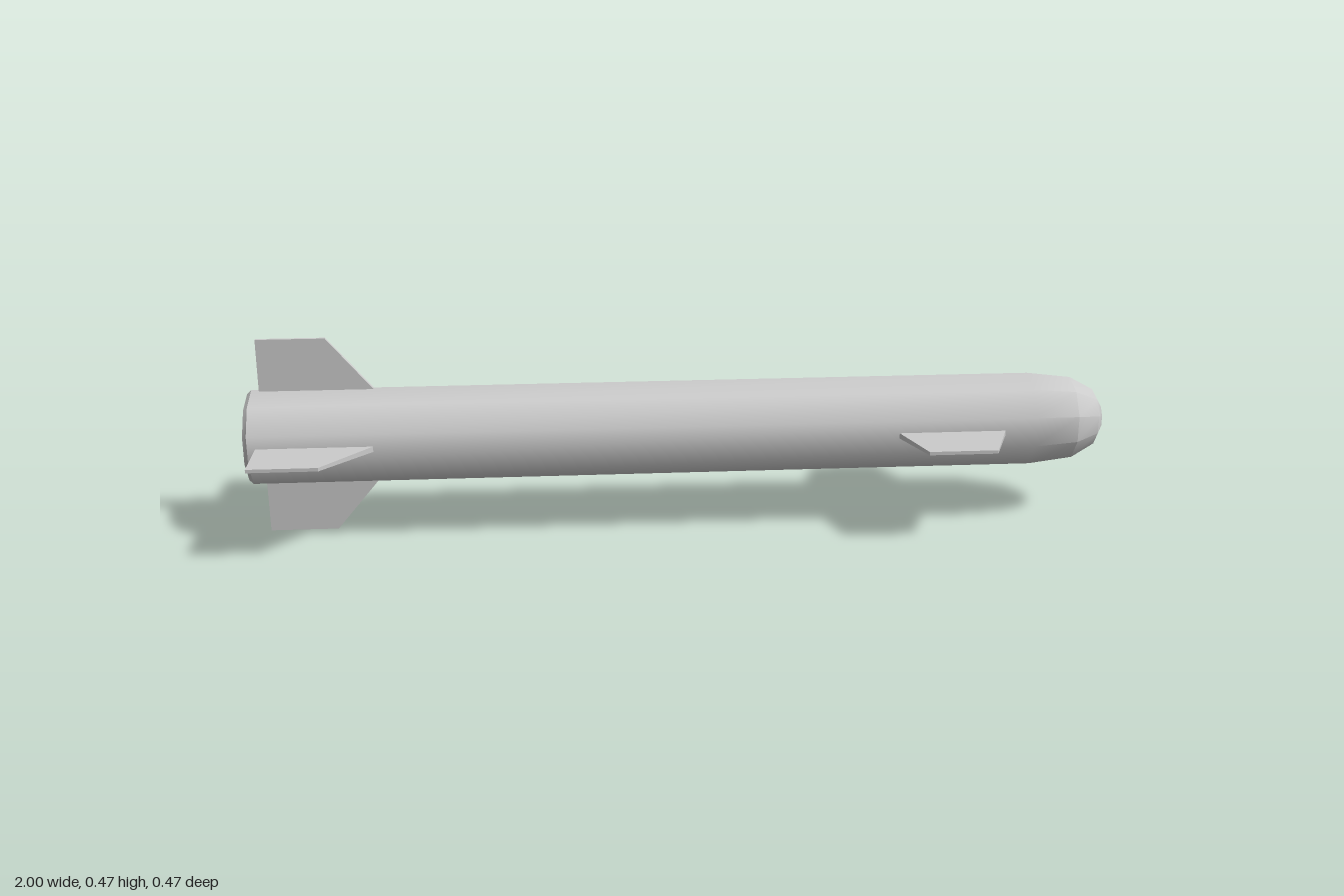
import * as THREE from 'three';
import { toCreasedNormals } from 'three/addons/utils/BufferGeometryUtils.js';

const AXIS_Y = 0.233;   // height of the body's centre line
const RADIUS = 0.113;
const ROOT = 0.1;       // fins start just inside the skin
const REACH = 0.233;    // fin tip distance from the centre line

const material = new THREE.MeshStandardMaterial({ color: 0xcccccc });

// Ten-sided solid of revolution along x, from [x, radius] points running aft to fore
function turned(name, points) {
  const profile = points.map(([x, r]) => new THREE.Vector2(r, x));
  const geometry = new THREE.LatheGeometry(profile, 10, Math.PI / 2);
  geometry.rotateZ(-Math.PI / 2);
  const mesh = new THREE.Mesh(toCreasedNormals(geometry, THREE.MathUtils.degToRad(40)), material);
  mesh.name = name;
  return mesh;
}

// Tapered fin pointing up: [aft, fore] x at root and tip, thinner at the tip
function fin(name, root, tip, angle) {
  const geometry = new THREE.BoxGeometry(1, 1, 1);
  const pos = geometry.attributes.position;
  for (let i = 0; i < pos.count; i++) {
    const isTip = pos.getY(i) > 0;
    const fore = pos.getX(i) > 0 ? 1 : 0;
    const half = isTip ? 0.004 : 0.0065;
    pos.setXYZ(i, (isTip ? tip : root)[fore], isTip ? REACH : ROOT, Math.sign(pos.getZ(i)) * half);
  }
  geometry.computeVertexNormals();
  const mesh = new THREE.Mesh(geometry, material);
  mesh.name = name;
  mesh.rotation.x = angle;
  return mesh;
}

export function createModel() {
  const model = new THREE.Group();
  model.name = 'missile';

  const assembly = new THREE.Group();
  assembly.name = 'airframe';
  assembly.position.y = AXIS_Y;
  model.add(assembly);

  // Tube with a recessed exhaust at the back and a rounded nose
  assembly.add(turned('body', [
    [-0.95, 0], [-0.95, 0.045], [-1, 0.07],
    [-1, 0.104], [-0.99, RADIUS],
    [0.82, RADIUS], [0.925, 0.1], [0.983, 0.068], [1, 0.038], [1, 0],
  ]));

  // Four tail fins
  for (let i = 0; i < 4; i++) {
    assembly.add(fin('tailFin', [-0.972, -0.703], [-0.972, -0.815], i * Math.PI / 2));
  }

  // Two forward wings, one on each side
  for (const side of [-1, 1]) {
    assembly.add(fin('forwardWing', [0.495, 0.75], [0.54, 0.697], side * Math.PI / 2));
  }

  return model;
}
